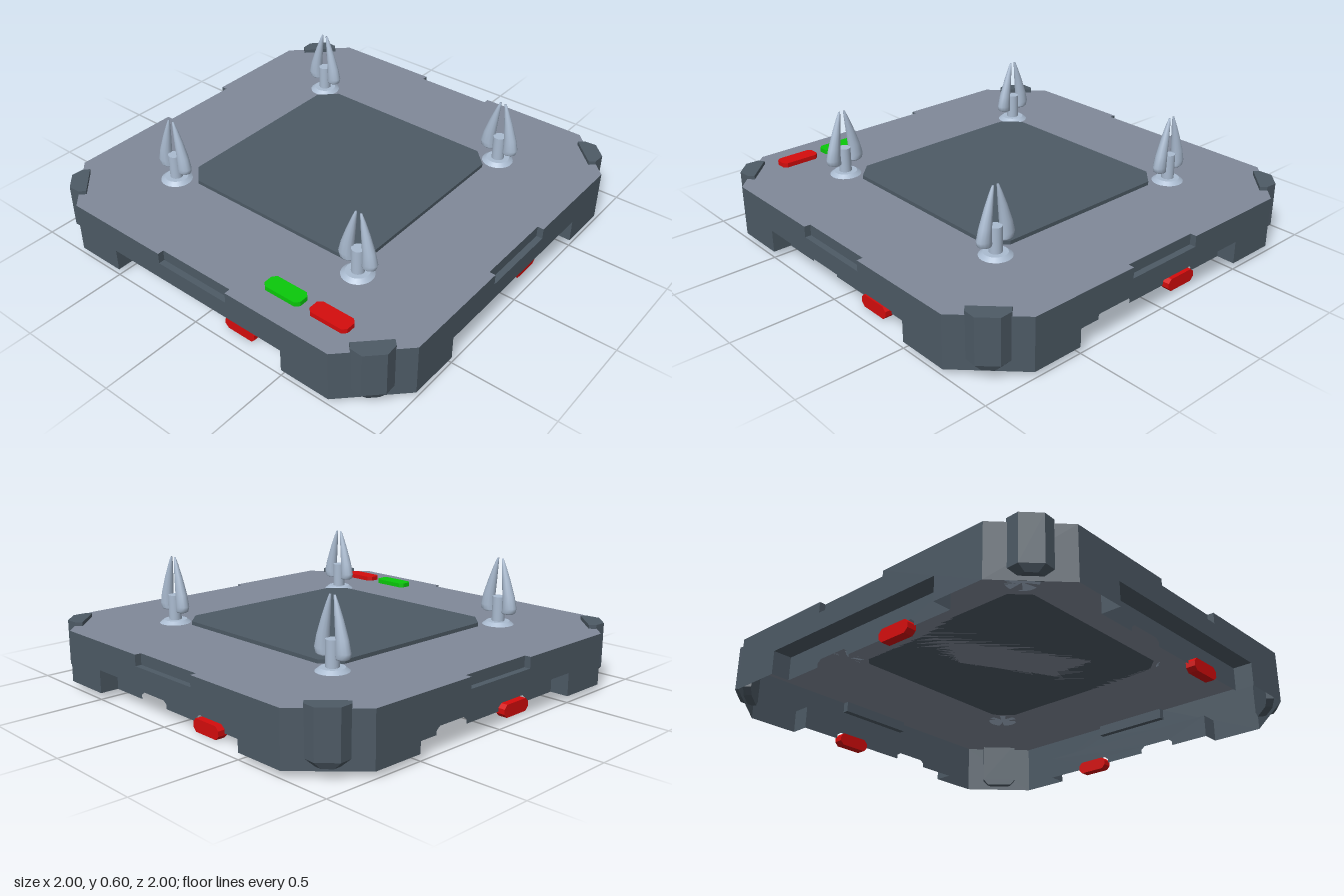
import * as THREE from 'three';

const mat = (name, color, side = THREE.FrontSide) => {
  const m = new THREE.MeshStandardMaterial({ color, side });
  m.name = name;
  return m;
};

// Skins a stack of rings (each ordered from +x towards +z) and caps both ends
function loft(rings, smooth) {
  const n = rings[0].length, idx = [];
  for (let l = 0; l < rings.length - 1; l++) {
    for (let i = 0; i < n; i++) {
      const a = l * n + i, b = l * n + (i + 1) % n;
      idx.push(a, a + n, b, b, a + n, b + n);
    }
  }
  const top = (rings.length - 1) * n;
  for (let k = 1; k < n - 1; k++) idx.push(0, k, k + 1, top, top + k + 1, top + k);
  let g = new THREE.BufferGeometry();
  g.setAttribute('position', new THREE.Float32BufferAttribute(rings.flat(2), 3));
  g.setIndex(idx);
  if (!smooth) g = g.toNonIndexed();
  g.computeVertexNormals();
  return g;
}

const polygon = (pts) => new THREE.Shape(pts.map(([x, y]) => new THREE.Vector2(x, y)));

// Rectangle with cut corners
function cutRect(w, h, c) {
  const x = w / 2, y = h / 2;
  return polygon([[x - c, -y], [x, c - y], [x, y - c], [x - c, y],
    [c - x, y], [-x, y - c], [-x, c - y], [c - x, -y]]);
}

const slab = (shape, depth) =>
  new THREE.ExtrudeGeometry(shape, { depth, bevelEnabled: false });

export function createModel() {
  const model = new THREE.Group();
  model.name = 'spikedFloorTile';

  const dark = mat('darkSteel', 0x4d5a65, THREE.DoubleSide);
  const deckMat = mat('deckGrey', 0x808999, THREE.DoubleSide);
  const steel = mat('paleSteel', 0xaabbd0);
  const red = mat('red', 0xd40c0c);
  const green = mat('green', 0x0ac80a);

  const add = (parent, name, geo, material, x = 0, y = 0, z = 0) => {
    const m = new THREE.Mesh(geo, material);
    m.name = name;
    m.position.set(x, y, z);
    parent.add(m);
    return m;
  };

  const BOTTOM = 0.03, TOP = 0.277, IN = 0.91;

  // Deck: octagon with a shallow slot in the middle of each side
  const outline = [];
  for (let k = 0; k < 4; k++) {
    const c = Math.round(Math.cos(k * Math.PI / 2)), s = Math.round(Math.sin(k * Math.PI / 2));
    for (const [x, y] of [[1, -0.75], [1, -0.2], [0.97, -0.2], [0.97, 0.2], [1, 0.2], [1, 0.75]])
      outline.push([x * c - y * s, x * s + y * c]);
  }
  add(model, 'deck', new THREE.ShapeGeometry(polygon(outline)).rotateX(-Math.PI / 2), deckMat, 0, TOP);

  // Raised centre plate
  add(model, 'centrePlate', slab(cutRect(1.045, 1.045, 0.08), 0.018).rotateX(-Math.PI / 2), dark, 0, TOP);

  // Shared side geometry
  const wallGeo = new THREE.ShapeGeometry(polygon([
    [-0.75, BOTTOM], [-0.5, BOTTOM], [-0.5, 0.14], [0.5, 0.14], [0.5, BOTTOM], [0.75, BOTTOM],
    [0.75, TOP], [0.2, TOP], [0.2, 0.225], [-0.2, 0.225], [-0.2, TOP], [-0.75, TOP]]));
  const panelGeo = new THREE.ShapeGeometry(polygon([
    [-0.5, BOTTOM], [-0.3, BOTTOM], [-0.3, 0.05], [-0.28, 0.065], [-0.13, 0.065], [-0.11, 0.05],
    [-0.11, BOTTOM], [0.11, BOTTOM], [0.11, 0.05], [0.13, 0.065], [0.28, 0.065], [0.3, 0.05],
    [0.3, BOTTOM], [0.5, BOTTOM], [0.5, 0.14], [-0.5, 0.14]]));
  const lightGeo = slab(cutRect(0.17, 0.06, 0.018), 0.045);
  const cornerGeo = new THREE.PlaneGeometry(0.25 * Math.SQRT2, TOP - BOTTOM);

  // Corner bumper: bevelled outside, narrowing at the foot
  const bumperRing = (y, t, out) => [[t, y, 1.2], [t, y, out - 0.045], [t - 0.04, y, out],
    [0.04 - t, y, out], [-t, y, out - 0.045], [-t, y, 1.2]];
  const bumperGeo = loft([bumperRing(0.05, 0.065, 1.265), bumperRing(0.08, 0.09, 1.28),
    bumperRing(0.295, 0.09, 1.28)], false);

  // Four identical sides and corners
  for (let k = 0; k < 4; k++) {
    const side = new THREE.Group();
    side.name = 'side' + (k + 1);
    side.rotation.y = k * Math.PI / 2;
    model.add(side);
    add(side, 'wall', wallGeo, dark, 0, 0, 1);

    // Lower recess
    add(side, 'recessPanel', panelGeo, dark, 0, 0, IN);
    add(side, 'recessCeiling', new THREE.PlaneGeometry(1, 0.09).rotateX(Math.PI / 2), dark, 0, 0.14, 0.955);
    for (const s of [-1, 1])
      add(side, 'recessEnd', new THREE.PlaneGeometry(0.09, 0.11).rotateY(-s * Math.PI / 2), dark, s * 0.5, 0.085, 0.955);

    // Upper slot
    add(side, 'slotLedge', new THREE.PlaneGeometry(0.4, 0.03).rotateX(-Math.PI / 2), dark, 0, 0.225, 0.985);
    add(side, 'slotBack', new THREE.PlaneGeometry(0.4, TOP - 0.225), dark, 0, (TOP + 0.225) / 2, 0.97);
    for (const s of [-1, 1])
      add(side, 'slotEnd', new THREE.PlaneGeometry(0.03, TOP - 0.225).rotateY(-s * Math.PI / 2), dark, s * 0.2, (TOP + 0.225) / 2, 0.985);

    add(side, 'sideLight', lightGeo, red, 0.205, 0.03, 0.89);

    const corner = new THREE.Group();
    corner.name = 'corner' + (k + 1);
    corner.rotation.y = (k + 0.5) * Math.PI / 2;
    model.add(corner);
    add(corner, 'cornerWall', cornerGeo, dark, 0, (TOP + BOTTOM) / 2, 1.75 / Math.SQRT2);
    add(corner, 'cornerBumper', bumperGeo, dark);
  }

  // Deck buttons
  const buttonGeo = slab(cutRect(0.08, 0.195, 0.018), 0.022).rotateX(-Math.PI / 2);
  add(model, 'greenButton', buttonGeo, green, -0.84, TOP, 0.395);
  add(model, 'redButton', buttonGeo, red, -0.84, TOP, 0.64);

  // Spike blade: [height, inner edge, outer edge, half thickness]
  const blade = [[0.335, 0.025, 0.082, 0.022], [0.342, 0.025, 0.094, 0.027], [0.365, 0.027, 0.1, 0.029],
    [0.42, 0.026, 0.086, 0.027], [0.5, 0.018, 0.058, 0.019], [0.56, 0.012, 0.034, 0.011], [0.597, 0.008, 0.018, 0.004]];
  const bladeGeo = loft(blade.map(([y, a, b, t]) => Array.from({ length: 12 }, (_, i) => {
    const u = i * Math.PI / 6;
    return [t * Math.cos(u), y, (a + b) / 2 + (b - a) / 2 * Math.sin(u)];
  })), true);
  const footGeo = new THREE.CylinderGeometry(0.055, 0.075, 0.016, 24);
  const postGeo = new THREE.CylinderGeometry(0.03, 0.03, 0.125, 20);

  for (const x of [-0.555, 0.545]) {
    for (const z of [-0.555, 0.545]) {
      const spike = new THREE.Group();
      spike.name = 'spike';
      spike.position.set(x, 0, z);
      model.add(spike);
      add(spike, 'spikeFoot', footGeo, steel, 0, TOP + 0.008);
      add(spike, 'spikePost', postGeo, steel, 0, 0.35);
      for (const r of [0, Math.PI]) add(spike, 'spikeBlade', bladeGeo, steel).rotation.y = r;
    }
  }
  return model;
}
